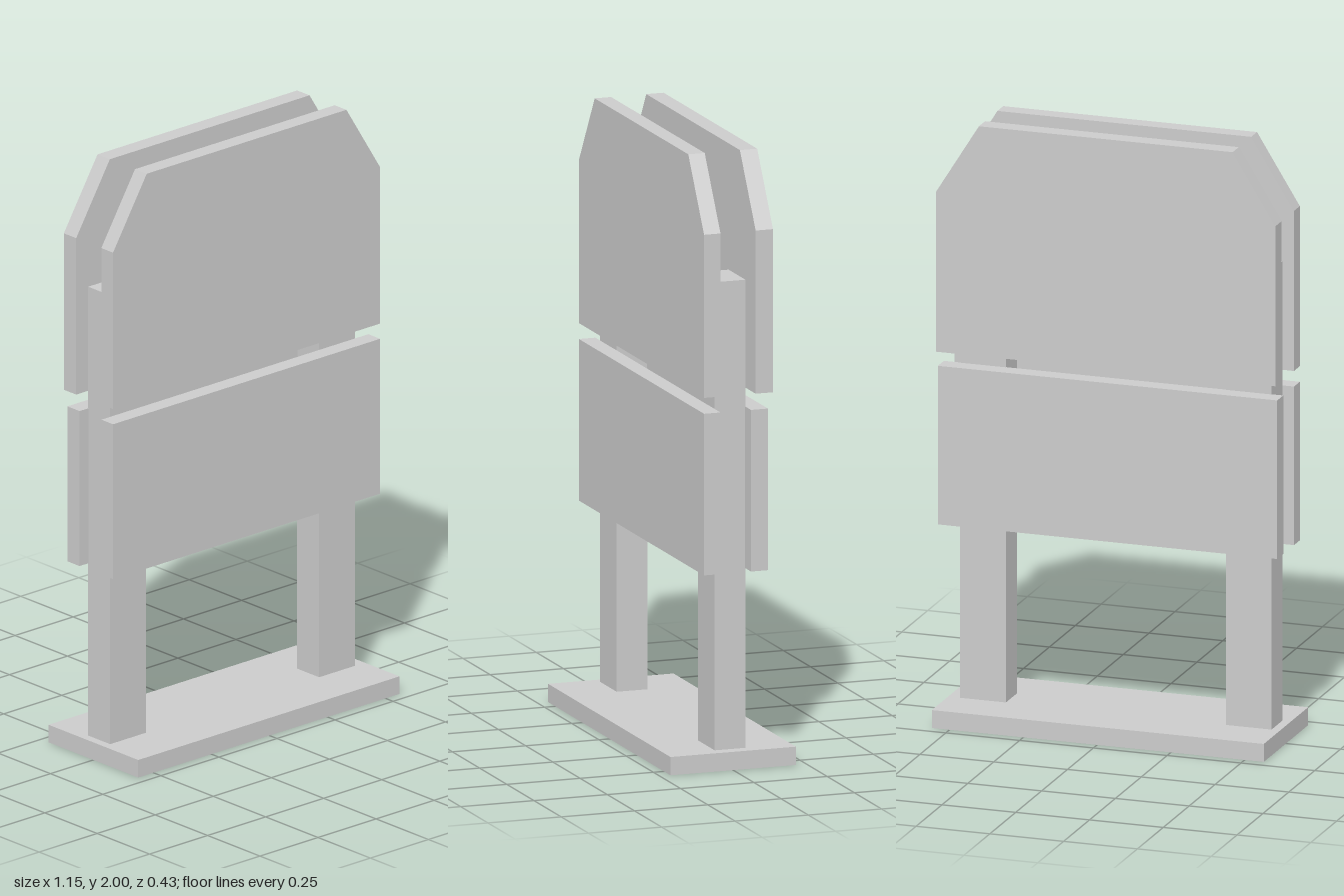
import * as THREE from 'three';

const material = new THREE.MeshStandardMaterial({ color: 0xcccccc, flatShading: true });
const thin = new THREE.MeshStandardMaterial({ color: 0xcccccc, flatShading: true, side: THREE.DoubleSide });

// Box given by its lower and upper limits on each axis
function box(name, [x0, x1], [y0, y1], [z0, z1]) {
  const mesh = new THREE.Mesh(new THREE.BoxGeometry(x1 - x0, y1 - y0, z1 - z0), material);
  mesh.position.set((x0 + x1) / 2, (y0 + y1) / 2, (z0 + z1) / 2);
  mesh.name = name;
  return mesh;
}

// Board with its two top corners cut off
function upperBoard(name, z0, z1) {
  const shape = new THREE.Shape([
    [-0.575, 1.232], [0.575, 1.232], [0.575, 1.767],
    [0.43, 2], [-0.43, 2], [-0.575, 1.767],
  ].map(([x, y]) => new THREE.Vector2(x, y)));
  const geometry = new THREE.ExtrudeGeometry(shape, { depth: z1 - z0, bevelEnabled: false });
  const mesh = new THREE.Mesh(geometry, material);
  mesh.position.z = z0;
  mesh.name = name;
  return mesh;
}

export function createModel() {
  const model = new THREE.Group();
  model.name = 'boardStand';

  // Base tray, open underneath: drop the bottom face of the box
  const base = box('base', [-0.565, 0.56], [0, 0.06], [-0.214, 0.214]);
  const index = Array.from(base.geometry.index.array);
  index.splice(18, 6);
  base.geometry.setIndex(index);
  base.geometry.clearGroups();
  base.material = thin;
  model.add(base);

  // Posts
  const postDepth = [-0.057, 0.048];
  model.add(box('rightPost', [-0.536, -0.381], [0.059, 1.595], postDepth));
  model.add(box('leftPost', [0.364, 0.519], [0.059, 1.595], postDepth));

  // Boards on both sides of the posts
  model.add(box('frontLowerBoard', [-0.575, 0.575], [0.65, 1.18], [0.049, 0.105]));
  model.add(box('backLowerBoard', [-0.575, 0.575], [0.65, 1.18], [-0.113, -0.055]));
  model.add(upperBoard('frontUpperBoard', 0.049, 0.105));
  model.add(upperBoard('backUpperBoard', -0.13, -0.071));

  return model;
}
